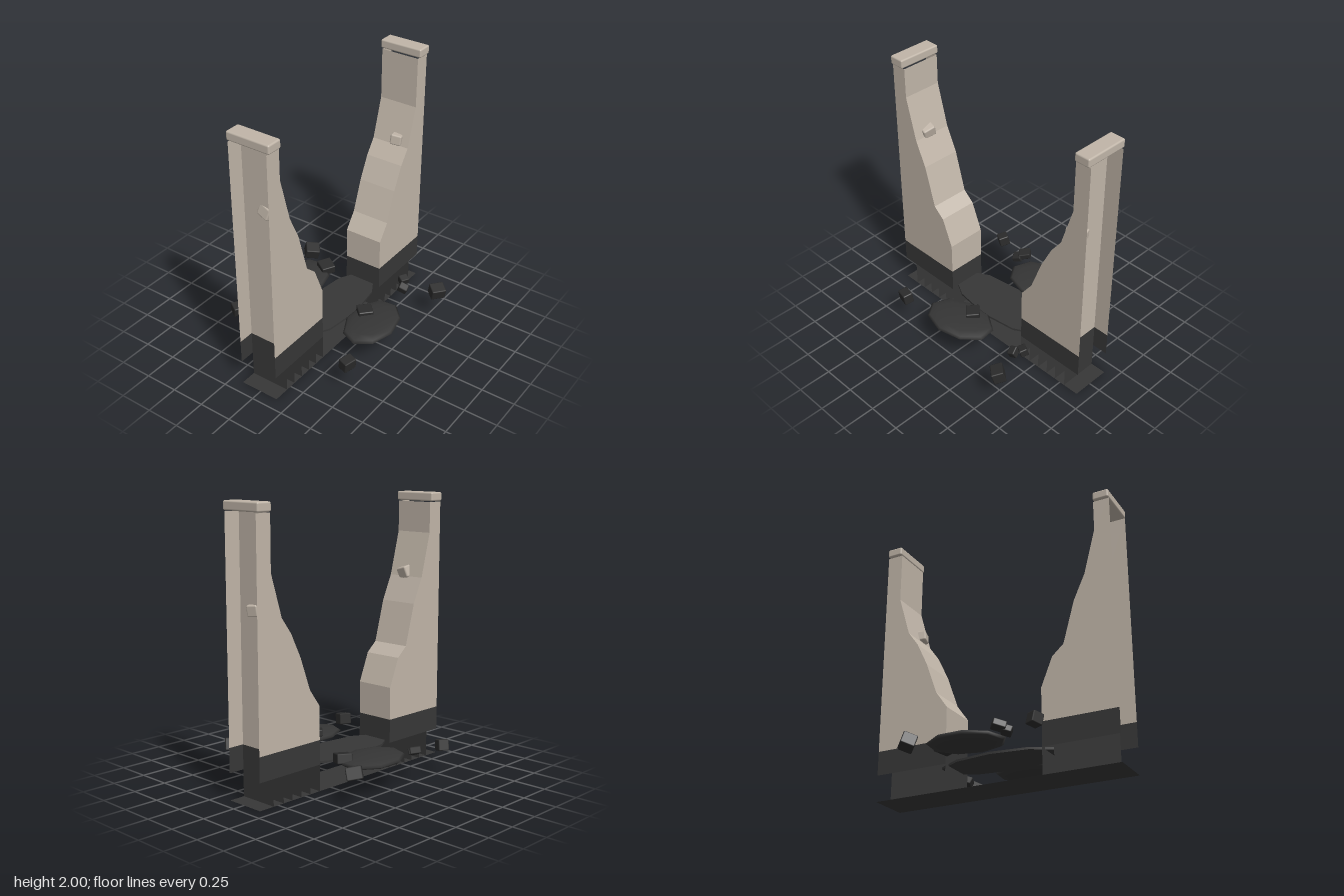
import * as THREE from 'three';
import { RoundedBoxGeometry } from 'three/addons/geometries/RoundedBoxGeometry.js';

const FRONT = 0.14, BACK = -0.16, DEPTH = FRONT - BACK, MID = (FRONT + BACK) / 2;
const TOP = 1.93, BAND = 0.365, SKIRT = 0.19, OUTER = 0.91;

// Broken edge of each wall stump, from the post down to the gap
const EDGES = {
  left: [[0.79, 1.55], [0.7, 1.25], [0.62, 1.14], [0.535, 0.965], [0.45, 0.73], [0.36, 0.605]],
  right: [[-0.79, 1.705], [-0.705, 1.38], [-0.62, 1.195], [-0.535, 0.89], [-0.45, 0.815], [-0.365, 0.605]],
};

export function createModel() {
  const root = new THREE.Group();
  const mat = (name, color, side = THREE.FrontSide) => {
    const m = new THREE.MeshStandardMaterial({ color, side });
    m.name = name;
    return m;
  };
  const plaster = mat('plaster', 0xc0b5a8, THREE.DoubleSide);
  const base = mat('baseBand', 0x373737, THREE.DoubleSide);
  const heap = mat('rubbleHeap', 0x353535);
  const brick = mat('darkBrick', 0x2b2b2b);

  function add(parent, name, geometry, material, pos = [0, 0, 0], rot = [0, 0, 0]) {
    const m = new THREE.Mesh(geometry, material);
    m.name = name;
    m.position.set(...pos);
    m.rotation.set(...rot);
    parent.add(m);
    return m;
  }

  // Flat-shaded strip running through x,y points, spanning the wall depth
  function ribbon(points) {
    const v = [];
    for (let i = 0; i + 1 < points.length; i++) {
      const [ax, ay] = points[i], [bx, by] = points[i + 1];
      v.push(ax, ay, FRONT, bx, by, BACK, bx, by, FRONT);
      v.push(ax, ay, FRONT, ax, ay, BACK, bx, by, BACK);
    }
    const g = new THREE.BufferGeometry();
    g.setAttribute('position', new THREE.Float32BufferAttribute(v, 3));
    g.computeVertexNormals();
    return g;
  }

  const face = (pts) => new THREE.ShapeGeometry(new THREE.Shape(pts.map((p) => new THREE.Vector2(...p))));

  for (const [label, edge] of Object.entries(EDGES)) {
    const s = Math.sign(edge[0][0]);
    const wall = new THREE.Group();
    wall.name = label + 'Wall';
    root.add(wall);
    const post = edge[0][0], end = edge[edge.length - 1][0], out = s * OUTER;

    // Front and back faces: plaster above, dark band below
    for (const [name, z] of [['front', FRONT], ['back', BACK]]) {
      add(wall, name + 'Face', face([[out, BAND], [out, TOP], [post, TOP], ...edge, [end, BAND]]), plaster, [0, 0, z]);
      add(wall, name + 'Band', face([[out, SKIRT], [out, BAND], [end, BAND], [end, SKIRT]]), base, [0, 0, z]);
    }

    // Broken edge, and the recessed panel in the open outer end
    add(wall, 'brokenEdge', ribbon([[post, TOP], ...edge, [end, BAND]]), plaster);
    add(wall, 'endPanel', ribbon([[post, edge[0][1]], [post, BAND]]), plaster);

    // Cross walls of the footing
    for (const [x] of edge) add(wall, 'footingRib', ribbon([[x, BAND], [x, 0]]), base);

    // Cap stone
    add(wall, 'cap', new RoundedBoxGeometry(0.118, 0.065, 0.335, 2, 0.012), plaster, [s * 0.85, 1.9675, -0.008]);
  }

  // Loose stones stuck through the broken edges
  add(root, 'leftStuckStone', new RoundedBoxGeometry(0.14, 0.08, 0.085, 1, 0.012), plaster,
    [0.74, 1.293, 0.03], [0.1, 0.25, -0.12]);
  add(root, 'rightStuckStone', new RoundedBoxGeometry(0.12, 0.085, 0.1, 1, 0.012), plaster,
    [-0.745, 1.415, 0.01], [0.25, -0.2, -0.2]);

  // Ground sheet and the flat slab in the gap
  add(root, 'groundSheet', new THREE.PlaneGeometry(OUTER * 2, DEPTH), base, [0, 0, MID], [-Math.PI / 2, 0, 0]);
  const slab = add(root, 'gapSlab', new THREE.CylinderGeometry(1, 1, 0.016, 10), base, [0, 0.195, -0.015]);
  slab.scale.set(0.46, 1, 0.187);

  // Low rubble heaps before and behind the gap
  for (const [x, z, rx, rz, turn] of [[0.07, -0.385, 0.275, 0.2, 0.12], [-0.055, 0.355, 0.28, 0.187, 0.1]]) {
    const m = add(root, 'rubbleHeap', new THREE.SphereGeometry(1, 9, 8), heap, [x, 0.222, z], [0, turn, 0]);
    m.scale.set(rx, 0.036, rz);
  }

  // Scattered bricks: x, y, z, width, height, depth, turn, tilt
  const bricks = [
    [-0.5, 0.225, -0.54, 0.08, 0.08, 0.08, -0.5, 0.25],
    [-0.235, 0.24, -0.515, 0.09, 0.05, 0.08, 0.7, 0.2],
    [-0.27, 0.215, -0.47, 0.07, 0.05, 0.07, 0.5, 0.3],
    [0.42, 0.23, -0.54, 0.1, 0.09, 0.11, 0.75, 0.25],
    [0.28, 0.25, -0.3, 0.11, 0.07, 0.11, -0.5, 0.2],
    [-0.015, 0.26, 0.265, 0.11, 0.05, 0.1, -0.75, 0.1],
    [0.445, 0.205, 0.305, 0.06, 0.06, 0.07, 0.3, 0.4],
    [0.505, 0.235, 0.27, 0.07, 0.06, 0.06, -0.5, 0.35],
    [-0.53, 0.225, 0.47, 0.1, 0.085, 0.075, -0.25, 0.15],
    [0.535, 0.23, 0.55, 0.11, 0.09, 0.09, -0.65, 0.35],
  ];
  for (const [x, y, z, w, h, d, turn, tilt] of bricks) {
    add(root, 'brick', new RoundedBoxGeometry(w, h, d, 1, 0.008), brick, [x, y, z], [tilt, turn, tilt * 0.6]);
  }

  return root;
}
